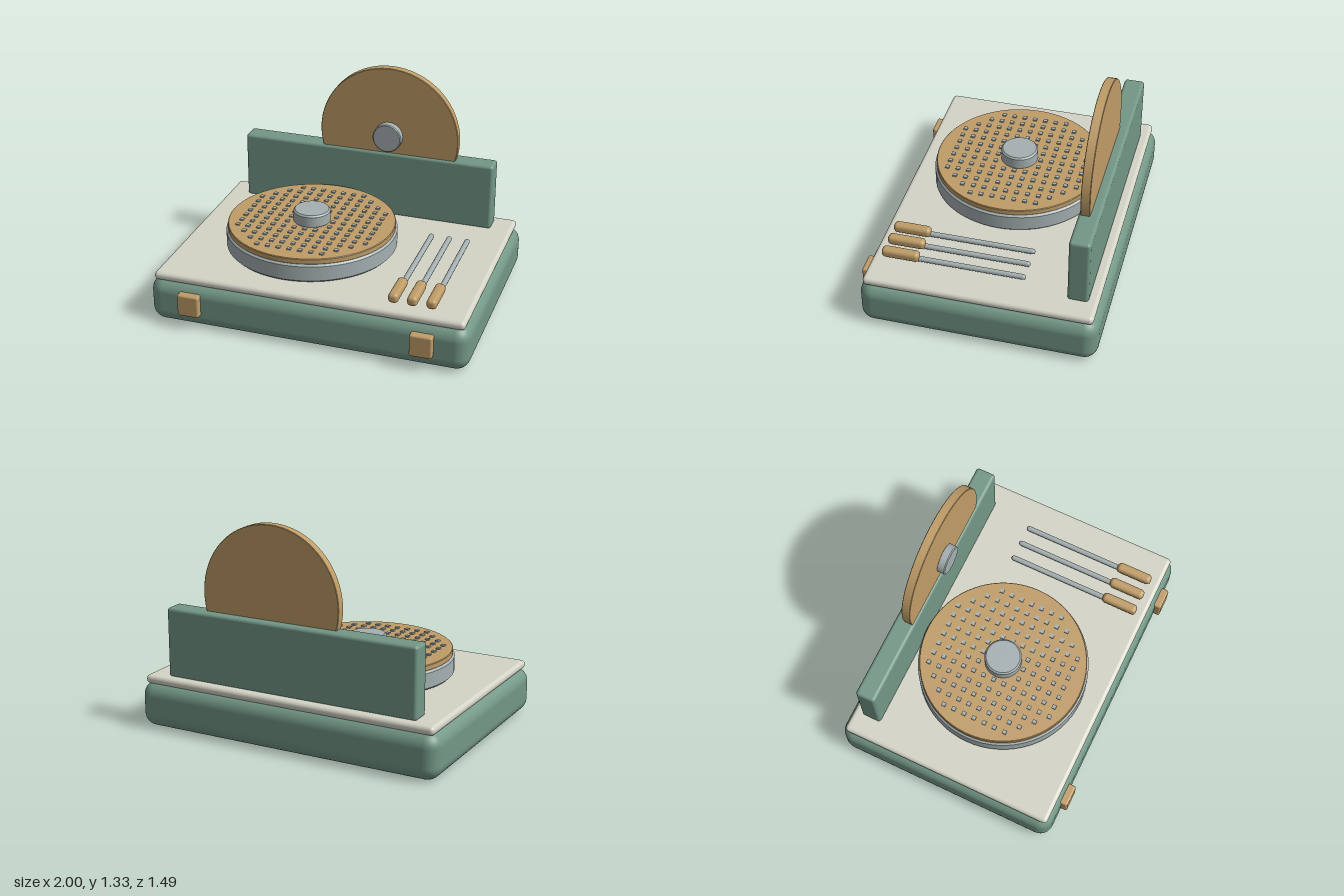
import * as THREE from 'three';
import { RoundedBoxGeometry } from 'three/addons/geometries/RoundedBoxGeometry.js';

const mat = (name, color) => new THREE.MeshStandardMaterial({ name, color });

export function createModel() {
  const green = mat('sage green', 0x739786);
  const cream = mat('cream', 0xd3d3c6);
  const gold = mat('tan gold', 0xbf9c67);
  const steel = mat('steel grey', 0xa5b0b1);
  const model = new THREE.Group();
  model.name = 'turntableCase';

  const add = (name, geometry, material, x, y, z, parent = model) => {
    const mesh = new THREE.Mesh(geometry, material);
    mesh.name = name;
    mesh.position.set(x, y, z);
    parent.add(mesh);
    return mesh;
  };

  // Rounded box given by its limits on each axis
  const box = (name, material, [x0, x1], [y0, y1], [z0, z1], radius, segments = 3) =>
    add(name, new RoundedBoxGeometry(x1 - x0, y1 - y0, z1 - z0, segments, radius), material,
      (x0 + x1) / 2, (y0 + y1) / 2, (z0 + z1) / 2);

  // Round slab with a small bevel; corner points are doubled to keep edges sharp
  const disc = (radius, height, bevel) => {
    const h = height / 2;
    const corners = [[0, -h], [radius - bevel, -h], [radius, -h + bevel],
      [radius, h - bevel], [radius - bevel, h], [0, h]];
    const points = corners.flatMap(([r, y], i) => {
      const p = new THREE.Vector2(r, y);
      return i === 0 || i === corners.length - 1 ? [p] : [p, p.clone()];
    });
    return new THREE.LatheGeometry(points, 64);
  };

  // Case, deck and raised back panel
  box('caseBody', green, [-1, 1], [0, 0.285], [-0.745, 0.705], 0.085, 4);
  box('deck', cream, [-0.97, 0.97], [0.274, 0.328], [-0.715, 0.68], 0.025);
  box('backPanel', green, [-0.838, 0.835], [0.32, 0.76], [-0.658, -0.53], 0.02);

  // Front latches
  for (const side of [-1, 1])
    box('latch', gold, [side * 0.727 - 0.069, side * 0.727 + 0.069], [0.092, 0.234], [0.68, 0.745], 0.012);

  // Platter with perforated-look mat and hub
  const cx = -0.185, cz = 0.013;
  add('platter', disc(0.536, 0.118, 0.012), steel, cx, 0.397, cz);
  add('platterMat', disc(0.525, 0.036, 0.004), gold, cx, 0.472, cz);
  add('platterHub', disc(0.116, 0.086, 0.01), steel, cx, 0.527, cz);

  // Grid of small studs on the mat, clipped to a circle
  const studs = new THREE.Group();
  studs.name = 'studs';
  model.add(studs);
  const studGeometry = new THREE.BoxGeometry(0.025, 0.02, 0.025);
  const pitch = 0.0692;
  for (let i = -6; i <= 6; i++) {
    for (let j = -6; j <= 6; j++) {
      const d = i * i + j * j;
      if (d < 3 || d > 45) continue;
      add('stud', studGeometry, steel, cx + i * pitch, 0.489, cz + j * pitch, studs);
    }
  }

  // Upright disc standing in the panel, with its hub
  add('uprightDisc', disc(0.457, 0.056, 0.003), gold, 0.142, 0.877, -0.572).rotation.x = Math.PI / 2;
  add('uprightHub', disc(0.094, 0.056, 0.006), steel, 0.142, 0.877, -0.521).rotation.x = Math.PI / 2;

  // Three tools lying on the deck
  for (const x of [0.52, 0.635, 0.751]) {
    add('toolRod', new THREE.CapsuleGeometry(0.017, 0.65, 4, 12), steel, x, 0.36, 0.077).rotation.x = Math.PI / 2;
    box('toolHandle', gold, [x - 0.031, x + 0.031], [0.344, 0.406], [0.387, 0.62], 0.024);
  }

  return model;
}
